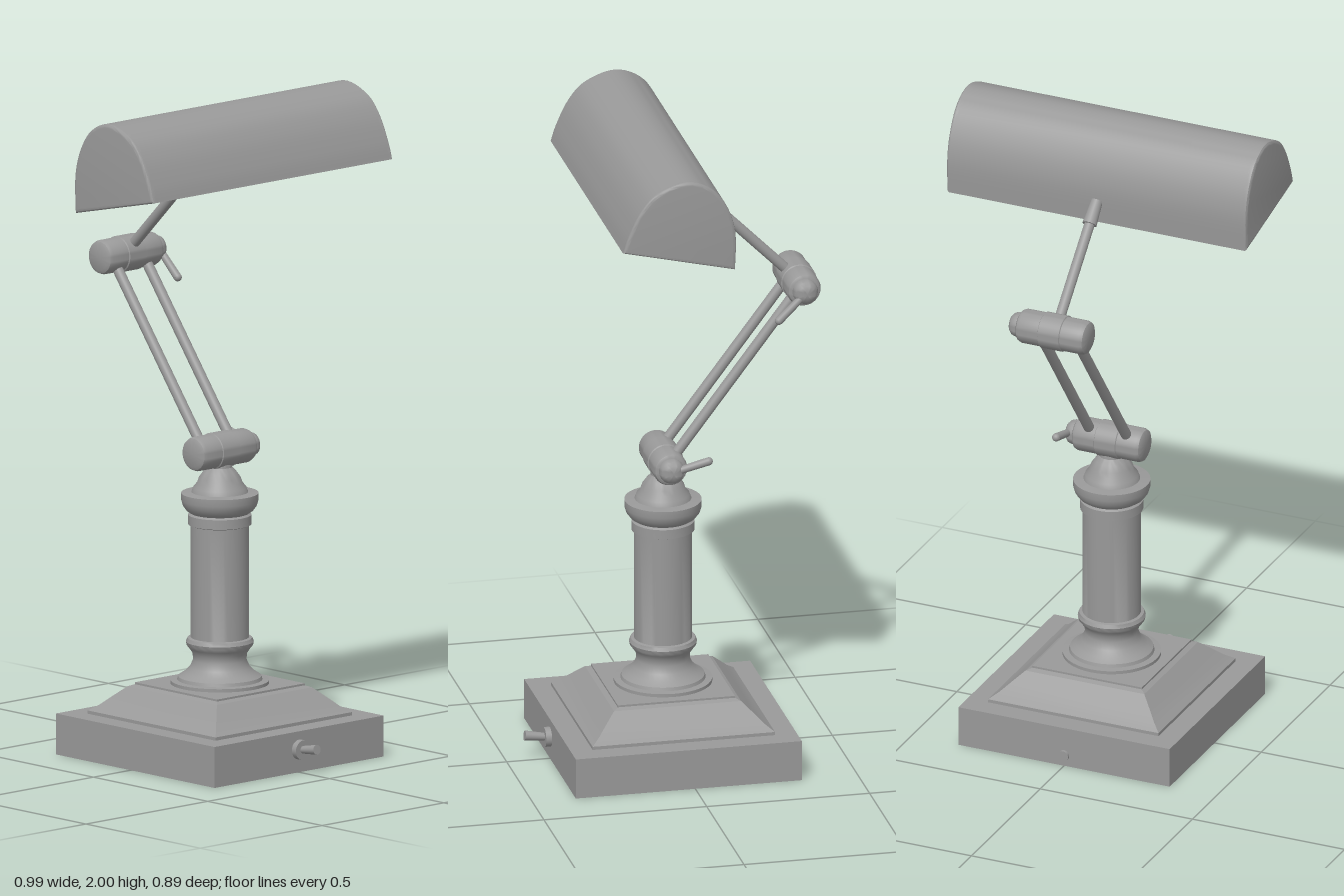
import * as THREE from 'three';
import { toCreasedNormals } from 'three/addons/utils/BufferGeometryUtils.js';

const metal = new THREE.MeshStandardMaterial({ color: 0x999999 });
metal.name = 'grey metal';
const CZ = 0.02; // centre line of base and column
const V = (x, y, z) => new THREE.Vector3(x, y, z);

export function createModel() {
  const lamp = new THREE.Group();
  lamp.name = 'deskLamp';

  const add = (name, geometry, x = 0, y = 0, z = 0, parent = lamp) => {
    const mesh = new THREE.Mesh(geometry, metal);
    mesh.name = name;
    mesh.position.set(x, y, z);
    parent.add(mesh);
    return mesh;
  };
  const lathe = (pts, segments = 40) =>
    toCreasedNormals(new THREE.LatheGeometry(pts.map(p => new THREE.Vector2(...p)), segments), 0.6);
  // Round bar between two points
  const rod = (name, a, b, r0, r1 = r0) => {
    const dir = b.clone().sub(a);
    const mesh = add(name, new THREE.CylinderGeometry(r1, r0, dir.length(), 24));
    mesh.position.copy(a).add(b).multiplyScalar(0.5);
    mesh.quaternion.setFromUnitVectors(V(0, 1, 0), dir.normalize());
    return mesh;
  };

  // Square base with a flared, stepped plinth
  add('base', new THREE.BoxGeometry(0.694, 0.125, 0.694), 0, 0.0625, CZ);
  const steps = [[0.28, 0.12], [0.28, 0.135], [0.255, 0.153], [0.225, 0.182], [0.195, 0.21], [0.18, 0.216], [0.18, 0.222], [0, 0.222]];
  const plinth = new THREE.LatheGeometry(steps.map(([h, y]) => new THREE.Vector2(h * Math.SQRT2, y)), 4, Math.PI / 4);
  add('plinth', toCreasedNormals(plinth, 0.15), 0, 0, CZ);

  // Turned column with foot, rings and capital
  add('column', lathe([
    [0.148, 0.215], [0.148, 0.232], [0.128, 0.234], [0.125, 0.244], [0.108, 0.255], [0.09, 0.272], [0.08, 0.295],
    [0.082, 0.315], [0.092, 0.33], [0.1, 0.34], [0.102, 0.35], [0.097, 0.361], [0.0875, 0.363],
    [0.0875, 0.705], [0.095, 0.708], [0.095, 0.737], [0.088, 0.742], [0.1, 0.75], [0.111, 0.765],
    [0.116, 0.782], [0.116, 0.803], [0.085, 0.806], [0.08, 0.82], [0.068, 0.835], [0.063, 0.85],
    [0.05, 0.868], [0.037, 0.882], [0.034, 0.91], [0, 0.91],
  ]), 0, 0, CZ);

  // Toggle switch on the front, cable outlet on the back
  rod('switchCollar', V(0, 0.07, 0.36), V(0, 0.07, 0.385), 0.03);
  rod('switchLever', V(0, 0.07, 0.375), V(0, 0.08, 0.445), 0.011, 0.015);
  rod('cableOutlet', V(0, 0.035, -0.32), V(0, 0.035, -0.336), 0.017);

  // Pivot joints, each with a knob and a locking lever
  const jointShape = lathe([
    [0, -0.113], [0.038, -0.113], [0.048, -0.108], [0.052, -0.098], [0.052, -0.036], [0.055, -0.034],
    [0.055, 0.034], [0.052, 0.036], [0.052, 0.098], [0.048, 0.108], [0.04, 0.113], [0, 0.113],
  ]).rotateZ(-Math.PI / 2);
  const knobShape = lathe([
    [0.038, 0.11], [0.038, 0.122], [0.034, 0.134], [0.025, 0.142], [0.012, 0.147], [0, 0.148],
  ], 32).rotateZ(-Math.PI / 2);
  const joint = (name, center, tip) => {
    const group = new THREE.Group();
    group.name = name;
    group.position.copy(center);
    lamp.add(group);
    add('barrel', jointShape, 0, 0, 0, group);
    add('knob', knobShape, 0, 0, 0, group);
    const start = center.clone().setX(0.131);
    rod(name + 'Lever', start, tip, 0.011, 0.0125);
    add(name + 'LeverTip', new THREE.SphereGeometry(0.0125, 16, 12), tip.x, tip.y, tip.z);
  };
  const low = V(0, 0.934, CZ), high = V(0, 1.475, -0.39);
  joint('lowerJoint', low, V(0.133, 0.962, -0.09));
  joint('upperJoint', high, V(0.133, 1.394, -0.306));

  // Twin lower arms and single upper arm
  for (const s of [-1, 1]) {
    const side = V(s * 0.061, 0, 0);
    rod(s > 0 ? 'leftArm' : 'rightArm', low.clone().add(side), high.clone().add(side), 0.016);
  }
  const socketStart = V(0, 1.722, -0.142);
  rod('upperArm', high, socketStart, 0.016);
  rod('shadeSocket', socketStart, V(0, 1.776, -0.088), 0.022, 0.018);

  // Arched shade: profile lies in (-z, y), open along the tilted lower edge
  const arch = new THREE.SplineCurve([
    [-0.254, 1.788], [-0.237, 1.84], [-0.2, 1.915], [-0.148, 1.97], [-0.058, 2.0],
    [0.02, 1.972], [0.069, 1.905], [0.092, 1.82], [0.09, 1.708],
  ].map(p => new THREE.Vector2(...p))).getPoints(40);
  const mid = new THREE.Vector2(-0.082, 1.748);
  const inner = arch.map(p => p.clone().sub(mid).multiplyScalar(0.935).add(mid));
  const extrude = (points, depth, options) => toCreasedNormals(
    new THREE.ExtrudeGeometry(new THREE.Shape(points), { depth, bevelEnabled: false, ...options }), 0.5)
    .rotateY(Math.PI / 2);
  add('shadeShell', extrude([...arch, ...inner.reverse()], 0.964), -0.482);
  const cap = extrude(arch, 0.008, {
    bevelEnabled: true, bevelThickness: 0.008, bevelSize: 0.01, bevelOffset: -0.01, bevelSegments: 3,
  });
  for (const s of [-1, 1]) add(s > 0 ? 'leftShadeEnd' : 'rightShadeEnd', cap, s * 0.481 - 0.004);

  return lamp;
}
